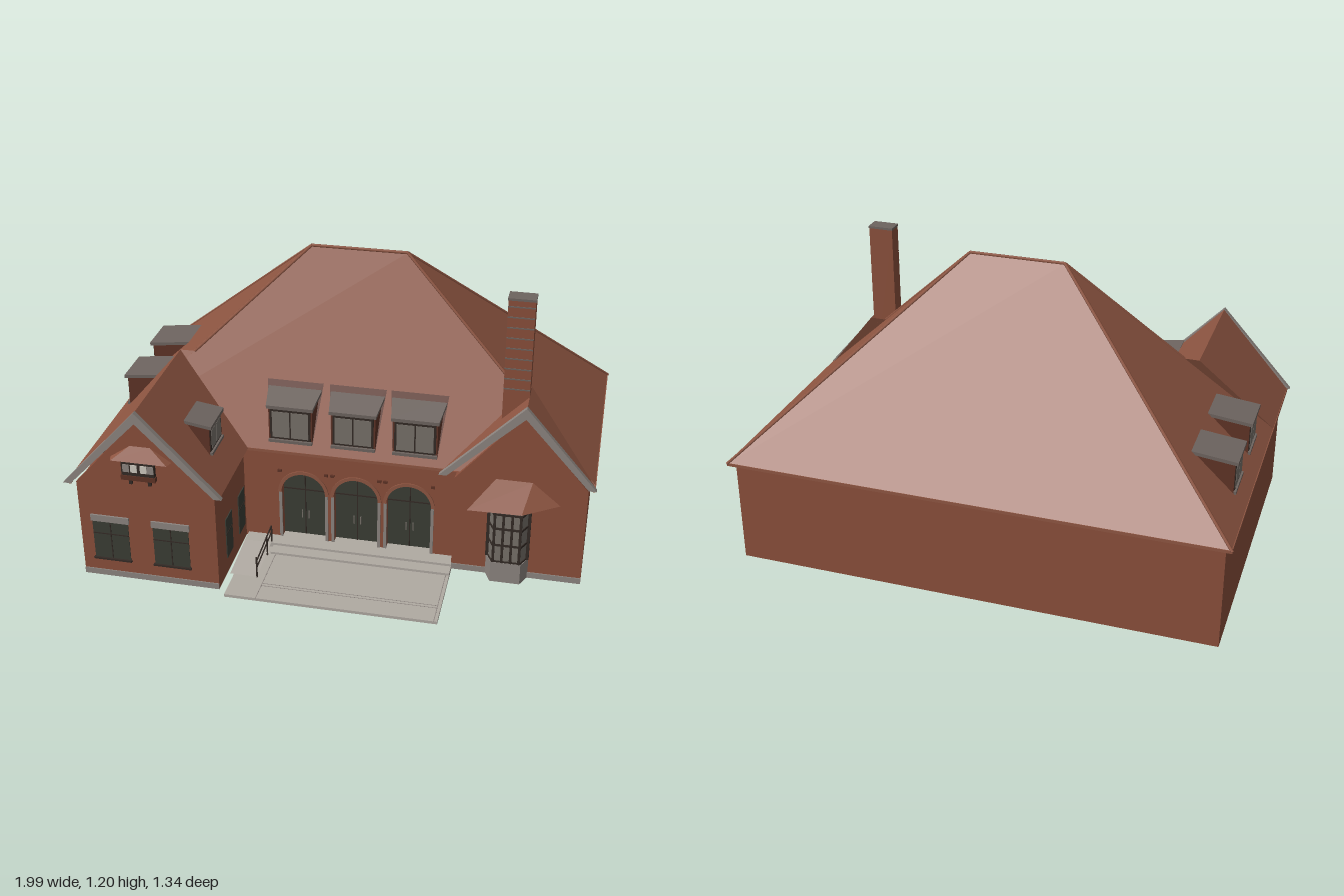
import * as THREE from 'three';

const mat = (name, color) => new THREE.MeshStandardMaterial({ name, color, side: THREE.DoubleSide });

export function createModel() {
  const house = new THREE.Group();
  house.name = 'house';
  const brick = mat('brick', 0x8a4f3b), tile = mat('roofTile', 0x8f5642), tileDark = mat('darkTile', 0x5e3326);
  const stone = mat('stone', 0x8d8580), paving = mat('paving', 0xb0aaa2), slate = mat('slate', 0x6d645f);
  const frame = mat('frame', 0x332a25), glass = mat('darkGlass', 0x3b3d35);
  const pane = mat('greyPane', 0x77716a), pale = mat('palePane', 0xcfcac0);

  const add = (name, geo, material, parent = house) => {
    const m = new THREE.Mesh(geo, material);
    m.name = name;
    parent.add(m);
    return m;
  };
  const box = (name, m, x0, x1, y0, y1, z0, z1, parent) => add(name,
    new THREE.BoxGeometry(x1 - x0, y1 - y0, z1 - z0).translate((x0 + x1) / 2, (y0 + y1) / 2, (z0 + z1) / 2), m, parent);
  // flat polygon as a fan of triangles
  const poly = (name, m, pts, parent) => {
    const v = [];
    for (let i = 1; i < pts.length - 1; i++) v.push(...pts[0], ...pts[i], ...pts[i + 1]);
    const g = new THREE.BufferGeometry();
    g.setAttribute('position', new THREE.Float32BufferAttribute(v, 3));
    g.computeVertexNormals();
    return add(name, g, m, parent);
  };
  const shape = (pts) => new THREE.Shape(pts.map(([x, y]) => new THREE.Vector2(x, y)));
  const extrude = (s, depth) => new THREE.ExtrudeGeometry(s, { depth, bevelEnabled: false, curveSegments: 16 });
  const rod = (name, m, a, b, r) => add(name, new THREE.TubeGeometry(
    new THREE.LineCurve3(new THREE.Vector3(...a), new THREE.Vector3(...b)), 1, r, 6), m);

  // Outer walls
  box('backWall', brick, -0.96, 0.96, 0.02, 0.43, -0.645, -0.63);
  box('rightWall', brick, 0.945, 0.96, 0.02, 0.43, -0.645, 0.3);
  box('leftWall', brick, -0.96, -0.945, 0.02, 0.43, -0.645, 0.625);
  box('wingInnerWall', brick, -0.425, -0.41, 0.02, 0.44, 0.2, 0.625);
  box('rightWingInnerWall', brick, 0.45, 0.465, 0.02, 0.43, 0.2, 0.3);
  const gableWall = (name, x0, x1, top, z) => {
    add(name, extrude(shape([[x0, 0.02], [x1, 0.02], [x1, 0.44], [(x0 + x1) / 2, top], [x0, 0.44]]), 0.015)
      .translate(0, 0, z - 0.015), brick);
    box(name + 'Plinth', stone, x0, x1, 0.02, 0.045, z, z + 0.004);
  };
  gableWall('leftGableWall', -0.96, -0.41, 0.75, 0.625);
  gableWall('rightGableWall', 0.45, 0.96, 0.74, 0.3);

  // Arcade wall with three arched doorways
  const archOutline = (target, cx, r) => {
    target.moveTo(cx - r, 0.035);
    target.lineTo(cx + r, 0.035);
    target.lineTo(cx + r, 0.25);
    target.absarc(cx, 0.25, r, 0, Math.PI, false);
    target.lineTo(cx - r, 0.035);
    return target;
  };
  const arcade = shape([[-0.41, 0.02], [0.45, 0.02], [0.45, 0.43], [-0.41, 0.43]]);
  const archX = [-0.165, 0.05, 0.265];
  for (const cx of archX) {
    arcade.holes.push(archOutline(new THREE.Path(), cx, 0.09));
    add('archedDoor', extrude(archOutline(new THREE.Shape(), cx, 0.092), 0.006).translate(0, 0, 0.2), glass);
    box('doorSplit', frame, cx - 0.002, cx + 0.002, 0.035, 0.335, 0.206, 0.209);
    box('doorRail', frame, cx - 0.09, cx + 0.09, 0.247, 0.252, 0.206, 0.209);
    const ring = new THREE.Shape();
    ring.absarc(cx, 0.25, 0.104, 0, Math.PI, false);
    ring.absarc(cx, 0.25, 0.09, Math.PI, 0, true);
    add('archTrim', extrude(ring, 0.006).translate(0, 0, 0.239), tile);
    for (const s of [-1, 1]) {
      const jx = cx + s * 0.095, hx = cx + s * 0.014;
      box('archJamb', stone, jx - 0.006, jx + 0.006, 0.035, 0.25, 0.238, 0.244);
      box('doorHandle', pane, hx - 0.002, hx + 0.002, 0.115, 0.15, 0.206, 0.212);
      box('wallBlock', tileDark, jx - 0.008, jx + 0.008, 0.345, 0.355, 0.24, 0.248);
    }
  }
  add('arcadeWall', extrude(arcade, 0.04).translate(0, 0, 0.2), brick);

  // Terrace, steps and ramp
  box('terrace', paving, -0.385, 0.45, 0.004, 0.016, 0.245, 0.65);
  box('lowerStep', paving, -0.28, 0.45, 0.016, 0.026, 0.24, 0.35);
  box('upperStep', paving, -0.4, 0.45, 0.016, 0.036, 0.2, 0.3);
  for (const z of [0.55, 0.565]) box('pavingLine', stone, -0.26, 0.44, 0.016, 0.0165, z, z + 0.003);
  for (const x of [-0.26, 0.435]) box('pavingLine', stone, x, x + 0.003, 0.016, 0.0165, 0.35, 0.65);
  poly('ramp', paving, [[-0.4, 0.017, 0.515], [-0.29, 0.017, 0.515], [-0.29, 0.036, 0.3], [-0.4, 0.036, 0.3]]);
  for (const z of [0.515, 0.36, 0.29]) box('railPost', frame, -0.292, -0.287, 0.016, 0.11, z - 0.003, z + 0.003);
  for (const y of [0.06, 0.09]) rod('handrail', frame, [-0.29, y, 0.515], [-0.29, y + 0.02, 0.29], 0.003);

  // Main hipped roof
  const RL = [-0.19, 1.2, -0.065], RR = [0.19, 1.2, -0.065];
  const BL = [-0.985, 0.453, -0.67], BR = [0.985, 0.453, -0.67];
  const FL = [-0.985, 0.453, 0.27], FR = [0.985, 0.453, 0.27];
  poly('frontRoof', tile, [FL, FR, RR, RL]);
  poly('backRoof', tile, [BR, BL, RL, RR]);
  poly('leftRoof', tile, [BL, FL, RL]);
  poly('rightRoof', tile, [FR, BR, RR]);
  rod('ridge', tile, RL, RR, 0.006);
  rod('hip', tile, RL, BL, 0.006);
  rod('hip', tile, RR, BR, 0.006);
  rod('hip', tile, RL, [-0.63, 0.785, 0.12], 0.006);
  rod('hip', tile, RR, [0.64, 0.778, 0.124], 0.006);
  box('backEave', tile, -0.985, 0.985, 0.444, 0.456, -0.67, -0.655);
  box('rightEave', tile, 0.97, 0.985, 0.444, 0.456, -0.67, 0.3);
  box('leftEave', tile, -0.985, -0.97, 0.444, 0.456, -0.67, 0.65);
  box('frontEave', tile, -0.4, 0.42, 0.444, 0.456, 0.255, 0.27);

  // Gabled wing roofs with stone verges
  const wingRoof = (name, cx, top, inner, outer, z, hip) => {
    const ridgeBack = [cx, top, hip[2]], ridgeFront = [cx, top, z];
    const outerBack = [outer, 0.453, 0.27];
    poly(name + 'OuterSlope', tile, [ridgeBack, outerBack, [outer, 0.453, z], ridgeFront]);
    poly(name + 'InnerSlope', tile, [ridgeBack, ridgeFront, [inner, 0.453, z], [inner, 0.453, 0.265]]);
    poly(name + 'Valley', tile, [outerBack, ridgeBack, hip]);
    const t = 0.042, o = Math.sign(outer) * 0.01;
    add(name + 'Verge', extrude(shape([[inner - o, 0.455], [cx, top + 0.004], [outer + o, 0.455],
      [outer - 2 * o, 0.455], [cx, top - t], [inner + 2 * o, 0.455]]), 0.02).translate(0, 0, z - 0.015), stone);
  };
  wingRoof('leftWingRoof', -0.69, 0.785, -0.38, -0.985, 0.66, [-0.63, 0.785, 0.12]);
  wingRoof('rightWingRoof', 0.71, 0.775, 0.4, 0.98, 0.31, [0.64, 0.775, 0.125]);

  // Shed dormers, built facing +z with the sill at the origin
  const dormer = (name, pos, turn, w, h, d, rise, taper = 0) => {
    const g = new THREE.Group();
    g.name = name;
    g.position.set(...pos);
    g.rotation.y = turn;
    house.add(g);
    const solid = (part, pts, width, m) => {
      const geo = extrude(shape(pts), width).translate(0, 0, -width / 2).rotateY(-Math.PI / 2);
      const p = geo.attributes.position;
      for (let i = 0; i < p.count; i++) p.setX(i, p.getX(i) * (1 - taper * p.getZ(i)));
      geo.computeVertexNormals();
      add(part, geo, m, g);
    };
    solid('dormerBody', [[0, 0], [0, h], [-d, h + rise]], w, tileDark);
    solid('dormerRoof', [[0.012, h - 0.006], [0.012, h + 0.008], [-d - 0.005, h + rise + 0.01], [-d, h + rise - 0.004]], w + 0.015, slate);
    box('dormerFrame', frame, -w / 2 + 0.006, w / 2 - 0.006, 0.014, h - 0.01, 0, 0.003, g);
    const pw = (w - 0.036) / 2;
    for (const s of [-1, 1]) {
      const c = s * (pw / 2 + 0.003);
      box('dormerPane', pane, c - pw / 2, c + pw / 2, 0.022, h - 0.02, 0.002, 0.005, g);
    }
    box('dormerSill', slate, -w / 2, w / 2, 0, 0.012, 0, 0.01, g);
  };
  const roofZ = (y) => -0.065 + (1.2 - y) * 0.4485;
  for (const cx of [-0.208, 0.043, 0.287]) {
    dormer('frontDormer', [cx, 0.492, 0.257], 0, 0.175, 0.155, 0.115, 0.045, 1.5);
    const [lo, hi] = [roofZ(0.49) + 0.005, roofZ(0.715) + 0.005];
    poly('dormerSurround', tileDark, [[cx - 0.088, 0.49, lo], [cx + 0.088, 0.49, lo], [cx + 0.113, 0.715, hi], [cx - 0.113, 0.715, hi]]);
  }
  for (const z of [-0.287, 0.023]) dormer('sideDormer', [-0.93, 0.5, z], -Math.PI / 2, 0.16, 0.13, 0.16, 0.018);
  dormer('wingDormer', [-0.46, 0.542, 0.425], Math.PI / 2, 0.145, 0.12, 0.09, 0.015);

  // Chimney
  box('chimney', brick, 0.61, 0.71, 0.55, 1.165, 0.155, 0.215);
  box('chimneyCap', slate, 0.608, 0.712, 1.163, 1.172, 0.153, 0.217);
  for (let y = 0.8; y < 1.15; y += 0.042) box('chimneyBand', slate, 0.61, 0.71, y, y + 0.005, 0.214, 0.217);

  // Left wing windows
  for (const [a, b] of [[-0.91, -0.765], [-0.665, -0.522]]) {
    box('wingWindow', glass, a, b, 0.105, 0.272, 0.62, 0.628);
    box('windowLintel', stone, a - 0.005, b + 0.005, 0.272, 0.3, 0.62, 0.632);
    box('windowSill', frame, a - 0.005, b + 0.005, 0.098, 0.105, 0.62, 0.636);
    const c = (a + b) / 2;
    box('windowMullion', frame, c - 0.002, c + 0.002, 0.105, 0.272, 0.628, 0.63);
    box('windowBar', frame, a, b, 0.215, 0.219, 0.628, 0.63);
  }
  for (const z of [0.265, 0.435]) {
    box('sideWindow', glass, -0.412, -0.406, 0.09, 0.267, z, z + 0.08);
    box('sideWindowBar', frame, -0.406, -0.404, 0.2, 0.204, z, z + 0.08);
  }

  // Small oriel in the left gable
  box('oriel', frame, -0.765, -0.635, 0.5, 0.57, 0.62, 0.642);
  box('orielBase', tileDark, -0.768, -0.632, 0.485, 0.505, 0.62, 0.645);
  for (const [x, m] of [[-0.746, stone], [-0.715, pale], [-0.677, pale], [-0.65, stone]])
    box('orielPane', m, x - 0.013, x + 0.013, 0.52, 0.553, 0.64, 0.644);
  for (const x of [-0.735, -0.66]) box('orielBracket', frame, x - 0.006, x + 0.006, 0.462, 0.487, 0.62, 0.635);
  poly('orielRoofFront', tile, [[-0.8, 0.57, 0.655], [-0.58, 0.57, 0.655], [-0.65, 0.625, 0.626], [-0.73, 0.625, 0.626]]);
  poly('orielRoofLeft', tile, [[-0.81, 0.57, 0.625], [-0.8, 0.57, 0.655], [-0.73, 0.625, 0.626]]);
  poly('orielRoofRight', tile, [[-0.58, 0.57, 0.655], [-0.57, 0.57, 0.625], [-0.65, 0.625, 0.626]]);

  // Canted bay window
  const bay = (name, m, y0, y1, grow) => add(name, extrude(shape([[0.588 - grow, -0.295], [0.615 - grow, -0.35 - grow],
    [0.722 + grow, -0.35 - grow], [0.75 + grow, -0.295]]), y1 - y0).rotateX(-Math.PI / 2).translate(0, y0, 0), m);
  bay('bayBase', stone, 0.02, 0.11, 0.005);
  bay('bayGlass', pane, 0.11, 0.335, 0);
  for (const y of [0.108, 0.185, 0.26, 0.325]) bay('bayRail', frame, y, y + 0.009, 0.003);
  for (const x of [0.618, 0.652, 0.686, 0.719]) box('bayMullion', frame, x - 0.005, x + 0.005, 0.11, 0.335, 0.345, 0.355);
  for (const x of [0.59, 0.748]) box('bayPost', frame, x - 0.006, x + 0.006, 0.11, 0.335, 0.297, 0.312);
  const eL = [0.51, 0.342, 0.365], eR = [0.72, 0.345, 0.365], bR = [0.86, 0.368, 0.305], bL = [0.575, 0.345, 0.302];
  const tL = [0.61, 0.458, 0.304], tR = [0.75, 0.458, 0.304];
  poly('bayRoofFront', tile, [eL, eR, tR, tL]);
  poly('bayRoofRight', tile, [eR, bR, tR]);
  poly('bayRoofLeft', tile, [bL, eL, tL]);
  poly('baySoffit', tileDark, [bL, bR, eR, eL]);

  return house;
}
